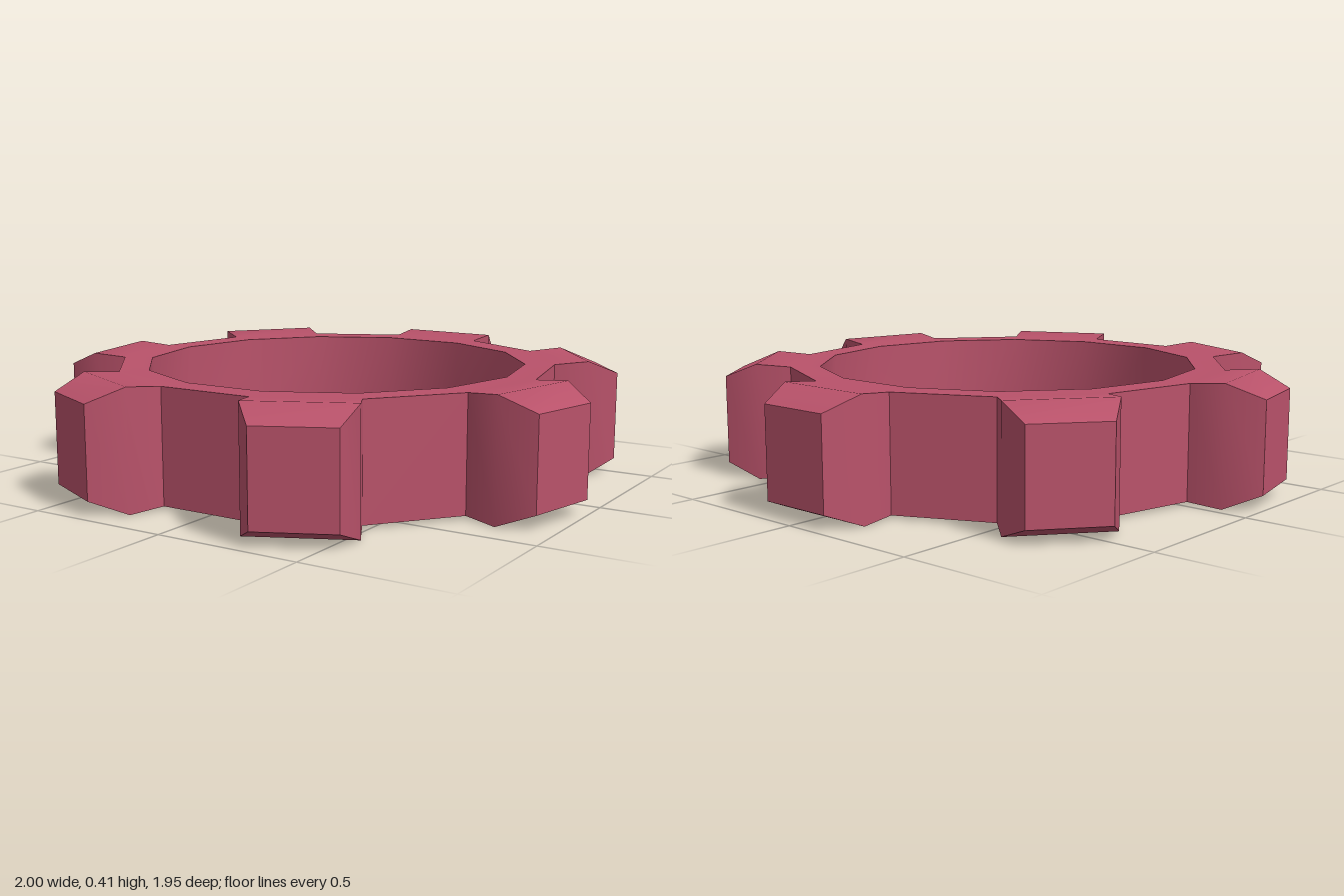
import * as THREE from 'three';
import { toCreasedNormals } from 'three/addons/utils/BufferGeometryUtils.js';

const TEETH = 7;
const MID_Y = 0.205;
const CENTRE_Z = 0.0175;

// Rectangular cross-sections along a spoke: radius, half width, half height
const RING = [[0.6525, 0.149, 0.195], [0.7525, 0.172, 0.195]];
const TOOTH = [...RING, [0.8725, 0.18, 0.205], [0.993, 0.133, 0.155]];

// Adds one of the fourteen sectors, lofted outward through its sections
function addSector(out, angle, sections) {
  const sin = Math.sin(angle), cos = Math.cos(angle);
  const quad = (a, b, c, d) => out.push(...a, ...b, ...c, ...a, ...c, ...d);
  const loops = sections.map(([r, w, h]) =>
    [[-w, -h], [w, -h], [w, h], [-w, h]].map(([s, y]) =>
      [sin * r + cos * s, MID_Y + y, -cos * r + sin * s + CENTRE_Z]));

  for (let j = 0; j < loops.length - 1; j++) {
    const a = loops[j], b = loops[j + 1];
    for (let i = 0; i < 4; i++) {
      // ring sectors meet each other, so only the teeth have side walls
      if (j === 0 && i % 2 === 1) continue;
      const n = (i + 1) % 4;
      quad(a[n], a[i], b[i], b[n]);
    }
  }
  // inner wall and outer face
  quad(...loops[0]);
  quad(...loops[loops.length - 1].slice().reverse());
}

export function createModel() {
  const positions = [];
  for (let k = 0; k < TEETH * 2; k++) {
    addSector(positions, (k * Math.PI) / TEETH, k % 2 === 0 ? TOOTH : RING);
  }
  const geometry = new THREE.BufferGeometry();
  geometry.setAttribute('position', new THREE.Float32BufferAttribute(positions, 3));

  const gear = new THREE.Mesh(
    toCreasedNormals(geometry, Math.PI / 6),
    new THREE.MeshStandardMaterial({ color: 0xb9526a })
  );
  gear.name = 'toothedRing';

  const group = new THREE.Group();
  group.name = 'gear';
  group.add(gear);
  return group;
}
